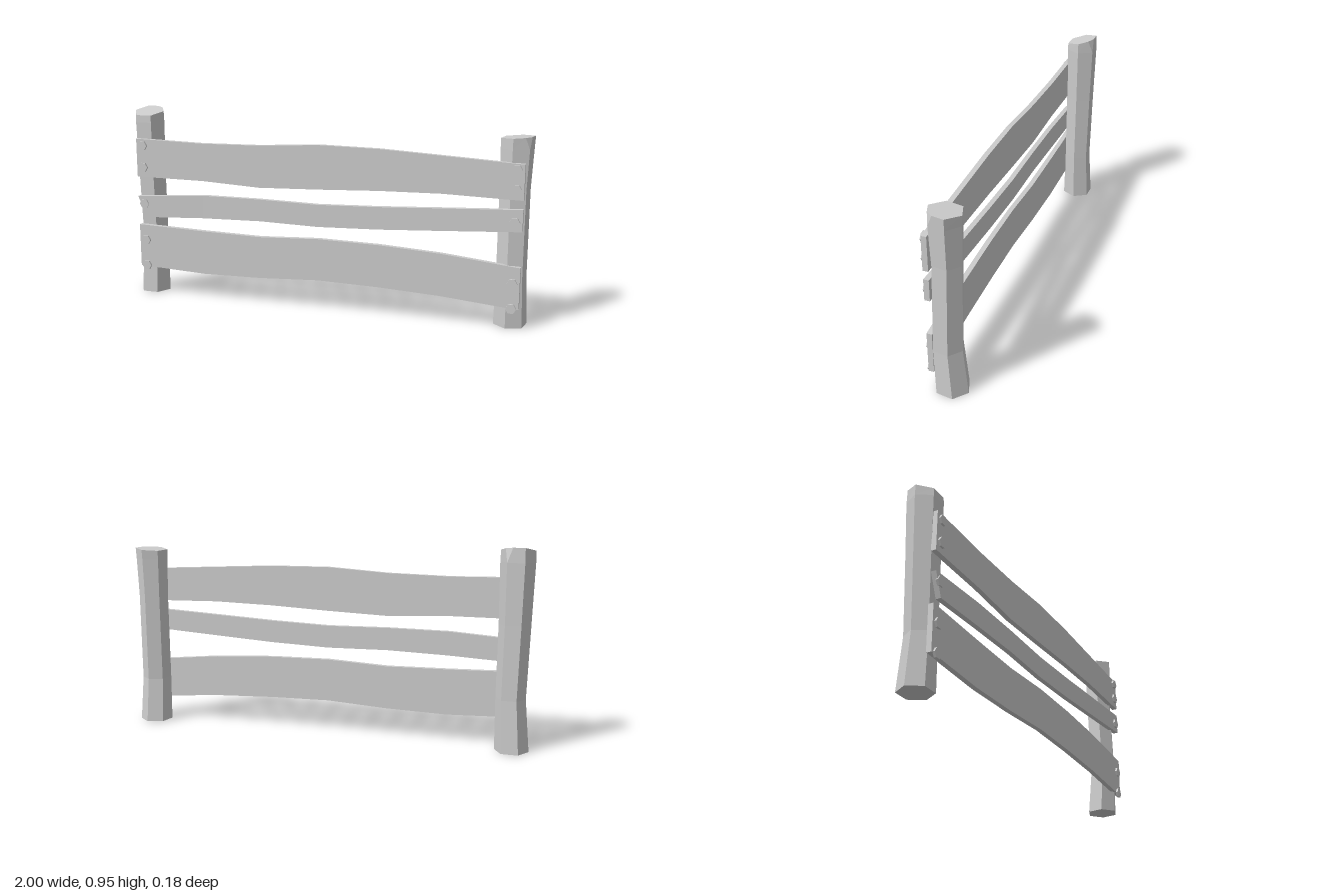
import * as THREE from 'three';

const material = new THREE.MeshStandardMaterial({ color: 0xcccccc, flatShading: true });

function addMesh(parent, geometry, name) {
  const mesh = new THREE.Mesh(geometry, material);
  mesh.name = name;
  parent.add(mesh);
  return mesh;
}

// Bent six-sided post. levels: [y, x, z, radius]; the last one is tilted by
// slopeX / slopeZ, and one corner is chipped off between the last two levels.
function postGeometry({ levels, turn, chip, slopeX, slopeZ }) {
  const top = levels.length - 1;
  const rings = levels.map(([y, cx, cz, r], k) => {
    const corners = [];
    for (let i = 0; i < 6; i++) {
      const a = turn + (i * Math.PI) / 3;
      const dx = r * Math.cos(a), dz = -r * Math.sin(a);
      const tilt = k === top ? slopeX * dx + slopeZ * dz : 0;
      corners.push(new THREE.Vector3(cx + dx, y + tilt, cz + dz));
    }
    // The chipped corner is doubled; its copies part only on the top ring
    const spread = k === top ? 0.3 : 0;
    const c = corners[chip];
    const before = c.clone().lerp(corners[(chip + 5) % 6], spread);
    const after = c.clone().lerp(corners[(chip + 1) % 6], spread);
    corners.splice(chip, 1, before, after);
    return corners;
  });

  const pos = [];
  const tri = (...pts) => {
    const t = new THREE.Triangle(...pts);
    if (t.getArea() > 1e-9) pts.forEach((p) => pos.push(p.x, p.y, p.z));
  };
  const n = 7;
  for (let i = 0; i < n; i++) {
    const j = (i + 1) % n;
    for (let k = 0; k < top; k++) {
      const a = rings[k], b = rings[k + 1];
      tri(a[i], a[j], b[j]);
      tri(a[i], b[j], b[i]);
    }
    if (i > 0 && i < n - 1) {
      tri(rings[top][0], rings[top][i], rings[top][j]);
      tri(rings[0][0], rings[0][j], rings[0][i]);
    }
  }
  const g = new THREE.BufferGeometry();
  g.setAttribute('position', new THREE.Float32BufferAttribute(pos, 3));
  g.computeVertexNormals();
  return g;
}

// Wavy plank between an upper and a lower edge; warp lifts its -x end forward
function plankGeometry(upper, lower, warp = 0) {
  const outline = [...lower, ...[...upper].reverse()].map((p) => new THREE.Vector2(...p));
  const g = new THREE.ExtrudeGeometry(new THREE.Shape(outline), { depth: 0.025, bevelEnabled: false });
  g.translate(0, 0, 0.055);
  const p = g.attributes.position;
  for (let i = 0; i < p.count; i++) {
    const t = Math.max(0, (-0.62 - p.getX(i)) / 0.33);
    p.setZ(i, p.getZ(i) + warp * t);
  }
  g.computeVertexNormals();
  return g;
}

// Heights paired with shared stations along the plank
const stations = [-0.955, -0.6, -0.3, 0, 0.3, 0.6, 0.97];
const edge = (heights, firstX = -0.955) => heights.map((y, i) => [i ? stations[i] : firstX, y]);

export function createModel() {
  const fence = new THREE.Group();
  fence.name = 'fence';

  // Posts
  addMesh(fence, postGeometry({
    levels: [
      [0, -0.92, -0.008, 0.08],
      [0.25, -0.908, -0.006, 0.07],
      [0.6, -0.916, -0.008, 0.074],
      [0.885, -0.92, -0.01, 0.08],
      [0.937, -0.92, -0.01, 0.078],
    ],
    turn: 0, chip: 1, slopeX: 0, slopeZ: -0.24,
  }), 'rightPost');

  addMesh(fence, postGeometry({
    levels: [
      [0, 0.924, -0.01, 0.08],
      [0.22, 0.922, 0.004, 0.072],
      [0.65, 0.92, -0.009, 0.072],
      [0.84, 0.923, -0.009, 0.078],
      [0.89, 0.924, -0.01, 0.08],
    ],
    turn: THREE.MathUtils.degToRad(20), chip: 5, slopeX: 0.07, slopeZ: 0.03,
  }), 'leftPost');

  // Planks
  addMesh(fence, plankGeometry(
    edge([0.805, 0.797, 0.802, 0.82, 0.816, 0.8, 0.78]),
    edge([0.612, 0.61, 0.595, 0.605, 0.618, 0.624, 0.615]),
  ), 'topPlank');
  addMesh(fence, plankGeometry(
    edge([0.512, 0.535, 0.536, 0.53, 0.54, 0.555, 0.573]),
    edge([0.405, 0.42, 0.427, 0.421, 0.431, 0.448, 0.47], -0.91),
    0.005,
  ), 'middlePlank');
  addMesh(fence, plankGeometry(
    edge([0.363, 0.352, 0.346, 0.36, 0.355, 0.338, 0.3]),
    edge([0.145, 0.13, 0.136, 0.152, 0.146, 0.132, 0.1]),
  ), 'bottomPlank');

  // Hexagonal bolt heads
  const bolt = new THREE.CylinderGeometry(0.025, 0.025, 0.012, 6);
  bolt.rotateY(Math.PI / 6).rotateX(Math.PI / 2);
  const bolts = new THREE.Group();
  bolts.name = 'bolts';
  fence.add(bolts);
  const rows = [[0.772, 0.755], [0.662, 0.665], [0.475, 0.512], [0.284, 0.224], [0.15, 0.104]];
  for (const [rightY, leftY] of rows) {
    addMesh(bolts, bolt, 'rightBolt').position.set(-0.92, rightY, 0.084);
    addMesh(bolts, bolt, 'leftBolt').position.set(0.935, leftY, 0.084);
  }
  return fence;
}
